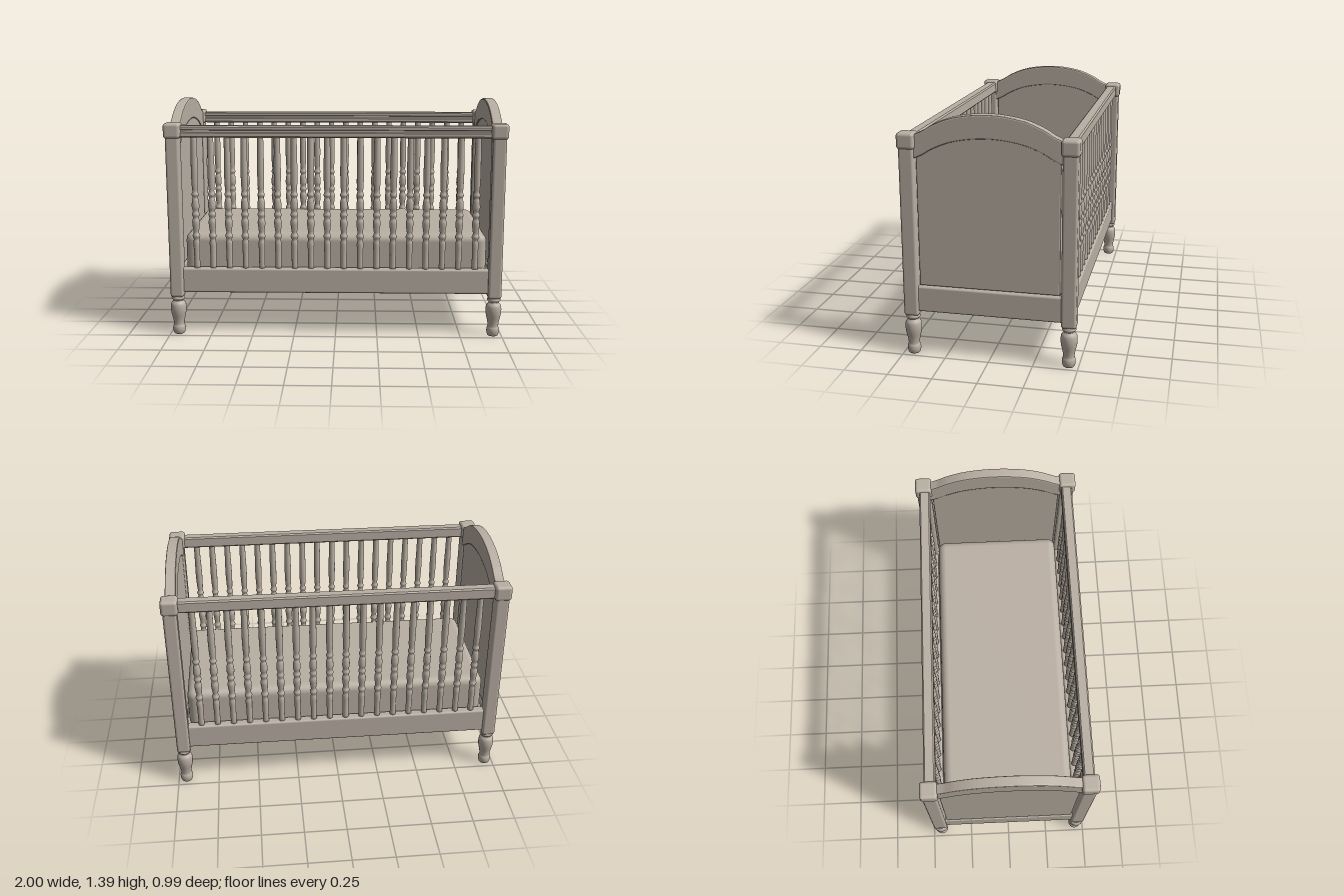
import * as THREE from 'three';
import { RoundedBoxGeometry } from 'three/addons/geometries/RoundedBoxGeometry.js';

const wood = new THREE.MeshStandardMaterial({ color: 0xbab0a4 });
wood.name = 'warm grey paint';

function add(parent, name, geometry, x = 0, y = 0, z = 0) {
  const mesh = new THREE.Mesh(geometry, wood);
  mesh.name = name;
  mesh.position.set(x, y, z);
  parent.add(mesh);
  return mesh;
}

// Rounded bar given by its centre in x and z and its bottom and top heights
function bar(parent, name, w, d, y0, y1, x, z, r = 0.012) {
  return add(parent, name, new RoundedBoxGeometry(w, y1 - y0, d, 3, r), x, (y0 + y1) / 2, z);
}

// Turned part from [radius, height] points, smoothed by a spline
function turned(points, steps, sides) {
  const curve = new THREE.SplineCurve(points.map(([r, y]) => new THREE.Vector2(r, y)));
  const profile = curve.getPoints(steps);
  profile.unshift(new THREE.Vector2(0, points[0][1]));
  profile.push(new THREE.Vector2(0, points[points.length - 1][1]));
  return new THREE.LatheGeometry(profile, sides);
}

const legGeometry = turned([
  [0.028, 0], [0.033, 0.006], [0.038, 0.025], [0.037, 0.045], [0.032, 0.06], [0.035, 0.09],
  [0.044, 0.13], [0.047, 0.16], [0.044, 0.188], [0.032, 0.205], [0.032, 0.212],
  [0.04, 0.222], [0.038, 0.232], [0.034, 0.25],
], 48, 24);

const spindleGeometry = turned([
  [0.018, 0.4], [0.018, 0.5], [0.02, 0.56], [0.016, 0.585], [0.023, 0.605], [0.016, 0.625],
  [0.019, 0.65], [0.023, 0.69], [0.017, 0.715], [0.023, 0.735], [0.017, 0.755],
  [0.023, 0.78], [0.02, 0.82], [0.015, 0.838], [0.022, 0.855], [0.016, 0.875],
  [0.019, 0.91], [0.021, 1.0], [0.019, 1.1], [0.018, 1.21],
], 60, 12);

// Corner post with block cap and turned foot
function cornerPost(x, z) {
  const post = new THREE.Group();
  post.name = 'cornerPost';
  post.position.set(x, 0, z);
  bar(post, 'post', 0.08, 0.085, 0.235, 1.21, 0, 0, 0.015);
  bar(post, 'cap', 0.098, 0.1, 1.19, 1.28, 0, 0, 0.018);
  add(post, 'foot', legGeometry);
  return post;
}

// Top edge of the end boards, from one post to the other
function archPoints(drop, half) {
  const pts = [[1, 1.265], [0.87, 1.288], [0.72, 1.325], [0.5, 1.362], [0.25, 1.383], [0, 1.39]];
  const side = pts.map(([z, y]) => new THREE.Vector2(z * half, y - drop));
  const mirrored = side.slice(0, -1).reverse().map((p) => new THREE.Vector2(-p.x, p.y));
  return new THREE.SplineCurve([...side, ...mirrored]).getPoints(48);
}

function endBoardGeometry(outline, depth) {
  const bevel = 0.008;
  const geometry = new THREE.ExtrudeGeometry(new THREE.Shape(outline), {
    depth: depth - 2 * bevel, bevelEnabled: true, bevelThickness: bevel,
    bevelSize: bevel, bevelOffset: -bevel, bevelSegments: 2,
  });
  geometry.translate(0, 0, -depth / 2 + bevel);
  return geometry.rotateY(Math.PI / 2);
}

function endBoard(side) {
  const end = new THREE.Group();
  end.name = side > 0 ? 'leftEnd' : 'rightEnd';
  const x = side * 0.945;
  // Thick arched crest
  const crest = [...archPoints(0, 0.415), ...archPoints(0.13, 0.415).reverse()];
  add(end, 'archedCrest', endBoardGeometry(crest, 0.06), x);
  // Thinner panel, tucked under the crest
  const panel = [...archPoints(0.06, 0.395), new THREE.Vector2(-0.395, 0.415), new THREE.Vector2(0.395, 0.415)];
  add(end, 'endPanel', endBoardGeometry(panel, 0.046), x);
  bar(end, 'endRail', 0.055, 0.84, 0.26, 0.41, side * 0.947, 0);
  return end;
}

// Top rail section in z and y, with a groove along the +z face
function topRailGeometry() {
  const shape = new THREE.Shape([
    [-0.032, 1.203], [-0.024, 1.195], [0.024, 1.195], [0.032, 1.203], [0.032, 1.222], [0.02, 1.226],
    [0.02, 1.238], [0.032, 1.242], [0.032, 1.257], [0.024, 1.265], [-0.024, 1.265], [-0.032, 1.257],
  ].map(([z, y]) => new THREE.Vector2(-z, y)));
  return new THREE.ExtrudeGeometry(shape, { depth: 1.84, bevelEnabled: false })
    .translate(0, 0, -0.92).rotateY(Math.PI / 2);
}

function sideRail(side) {
  const group = new THREE.Group();
  group.name = side > 0 ? 'frontSide' : 'backSide';
  const z = side * 0.438;
  add(group, 'topRail', topRailGeometry(), 0, 0, z);
  bar(group, 'bottomRail', 1.84, 0.055, 0.26, 0.41, 0, z);
  const count = 18;
  for (let i = 0; i < count; i++) {
    add(group, 'spindle', spindleGeometry, -0.83 + (1.66 * i) / (count - 1), 0, z);
  }
  return group;
}

export function createModel() {
  const crib = new THREE.Group();
  crib.name = 'crib';
  for (const side of [-1, 1]) {
    crib.add(endBoard(side), sideRail(side));
    for (const z of [-0.445, 0.445]) crib.add(cornerPost(side * 0.95, z));
  }
  // Mattress and the base board beneath it
  bar(crib, 'mattress', 1.814, 0.796, 0.35, 0.612, 0, 0, 0.05);
  add(crib, 'baseBoard', new THREE.BoxGeometry(1.85, 0.03, 0.83), 0, 0.355, 0);
  return crib;
}
